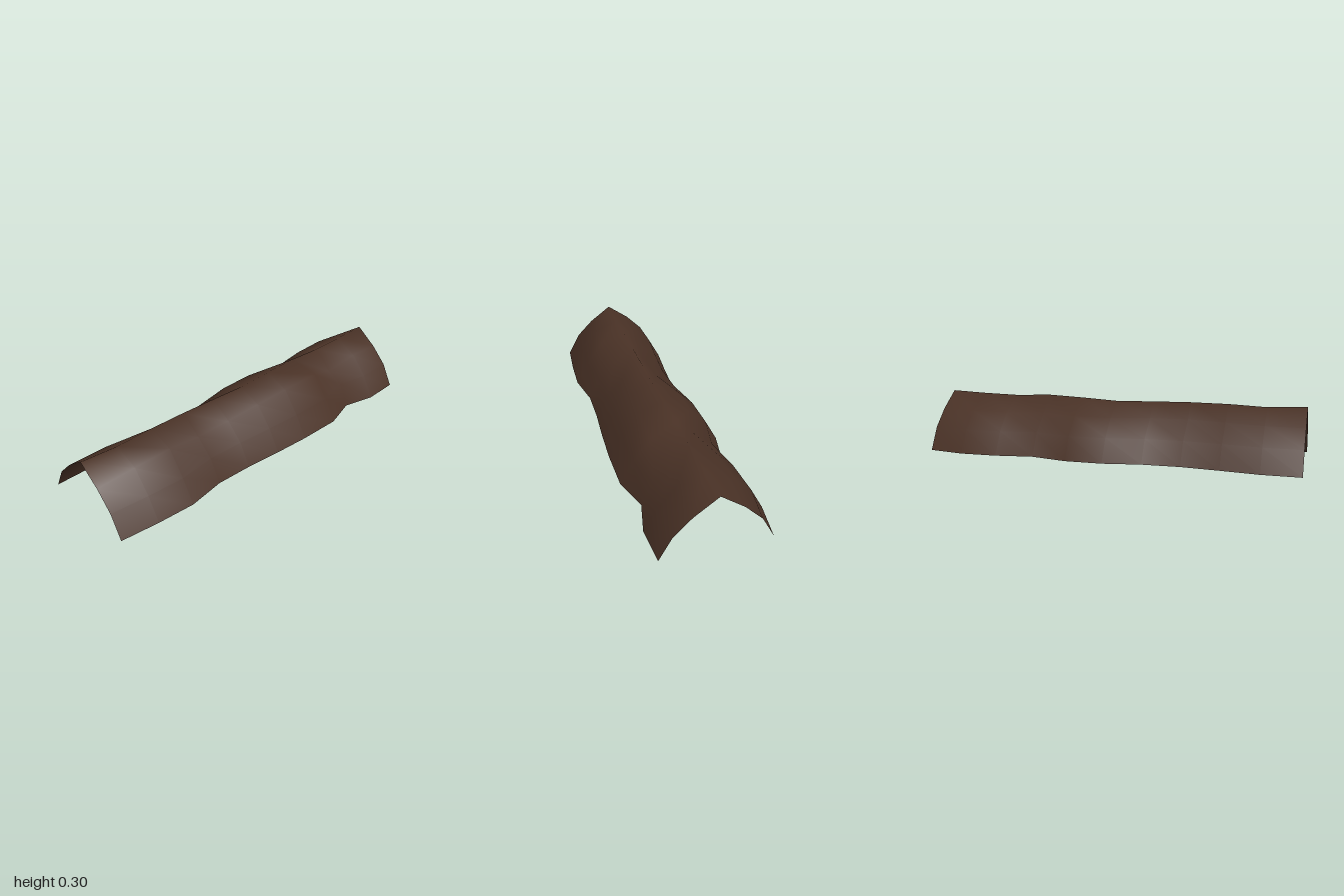
import * as THREE from 'three';

// Stations along the length; offsets push each flank outward (+) or inward (-)
const stations = [-1, -0.8, -0.6, -0.4, -0.2, 0, 0.2, 0.4, 0.6, 0.8, 1];
const ridgeY = [0.297, 0.29, 0.287, 0.297, 0.29, 0.28, 0.287, 0.292, 0.292, 0.285, 0.297];
const rightPush = [0, 0.03, 0.02, -0.015, 0.025, 0.02, -0.02, -0.03, -0.015, 0.005, 0];
const leftPush = [0, 0.01, -0.032, 0.025, 0.025, 0.015, 0, -0.005, 0.03, 0.02, 0];
const leftShift = [0, 0, -0.02, -0.04, 0, 0, 0, 0, 0, 0, 0]; // uneven spacing on the left flank

// Arched cross-section from the right hem over the ridge to the left hem
function section(i) {
  const r = rightPush[i], l = leftPush[i], z = stations[i], zl = z + leftShift[i];
  const rMid = r < 0 ? r * 2 : r;
  return [
    [-0.275 - r, 0, z],
    [-0.21 - r, 0.12, z],
    [-0.12 - rMid, 0.21, z],
    [0, ridgeY[i], z],
    [0.12 + l * 0.8, 0.21 + l * 1.2, zl],
    [0.21 + l * 0.8, 0.12, zl],
    [0.275 + l, 0, zl],
  ];
}

export function createModel() {
  const group = new THREE.Group();
  const brown = new THREE.MeshStandardMaterial({ color: 0x4a3226, side: THREE.DoubleSide });
  brown.name = 'dark brown hide';

  // Loft the sections into one smooth open sheet
  const positions = [], index = [], n = 7;
  stations.forEach((_, i) => section(i).forEach((p) => positions.push(...p)));
  for (let i = 0; i < stations.length - 1; i++) {
    for (let j = 0; j < n - 1; j++) {
      const a = i * n + j, b = a + 1, c = a + n, d = c + 1;
      index.push(a, c, b, b, c, d);
    }
  }
  const geometry = new THREE.BufferGeometry();
  geometry.setAttribute('position', new THREE.Float32BufferAttribute(positions, 3));
  geometry.setIndex(index);
  geometry.computeVertexNormals();

  const sheet = new THREE.Mesh(geometry, brown);
  sheet.name = 'drapedSheet';
  group.add(sheet);
  return group;
}
